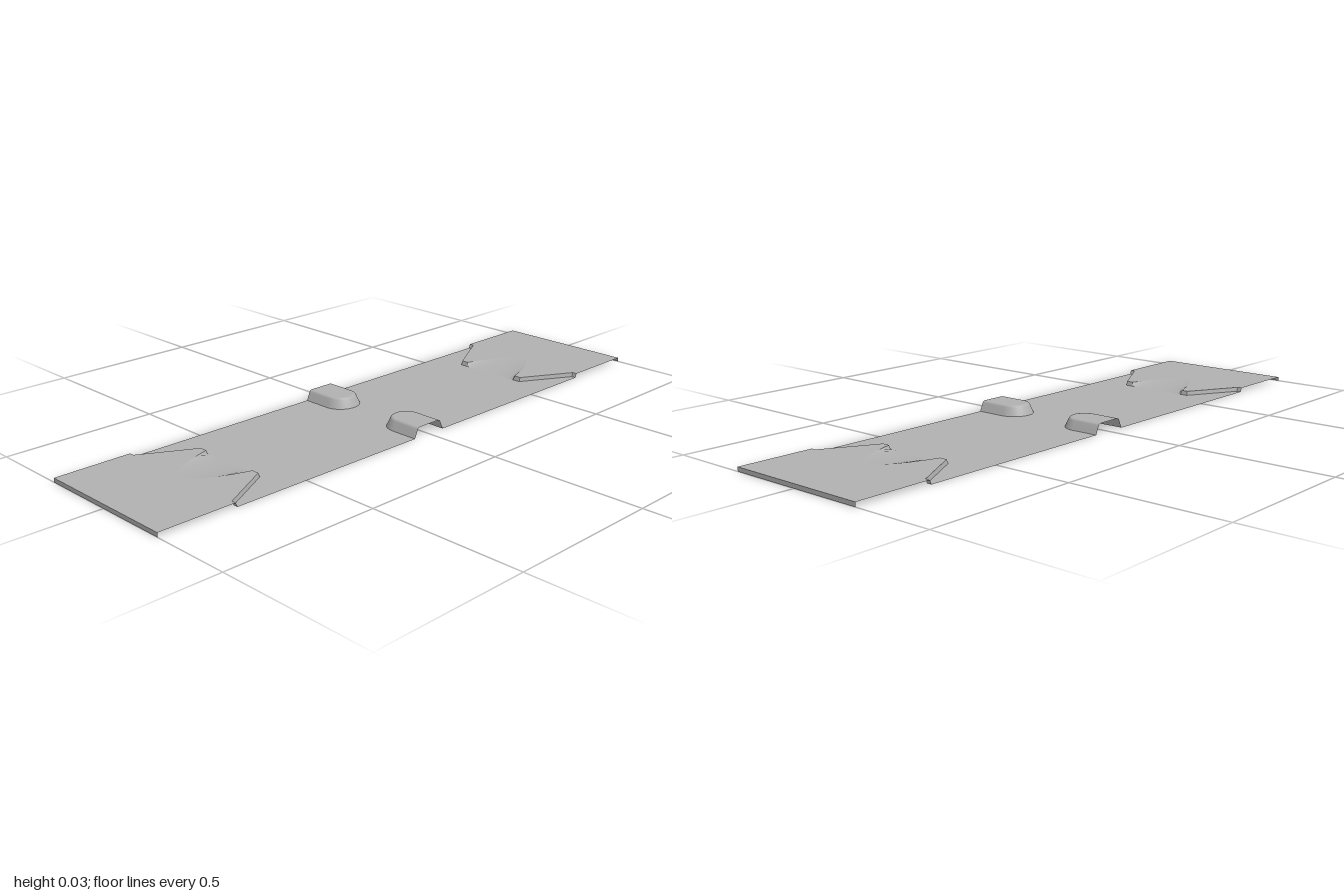
import * as THREE from 'three';

const END_Y = 0.0134;   // height of the raised end sheets
const HALF_D = 0.241;   // half depth of the whole panel

// Surface through rows of [x, y, z] points
function strip(rows, flat, material, name) {
  const n = rows[0].length, index = [];
  for (let i = 0; i < rows.length - 1; i++) {
    for (let j = 0; j < n - 1; j++) {
      const a = i * n + j, c = a + n;
      index.push(a, a + 1, c, a + 1, c + 1, c);
    }
  }
  let geo = new THREE.BufferGeometry();
  geo.setAttribute('position', new THREE.Float32BufferAttribute(rows.flat(2), 3));
  geo.setIndex(index);
  if (flat) geo = geo.toNonIndexed();
  geo.computeVertexNormals();
  const mesh = new THREE.Mesh(geo, material);
  mesh.name = name;
  return mesh;
}

// Horizontal sheet from an outline of [x, z] points
function sheet(outline, y, material, name) {
  const shape = new THREE.Shape(outline.map(([x, z]) => new THREE.Vector2(x, -z)));
  const mesh = new THREE.Mesh(new THREE.ShapeGeometry(shape).rotateX(-Math.PI / 2), material);
  mesh.position.y = y;
  mesh.name = name;
  return mesh;
}

// U-shaped outline of a bump, moved inward by inset
function bumpOutline(inset) {
  const w = 0.062 - inset, zc = 0.147, pts = [[w, HALF_D]];
  for (let k = 0; k <= 20; k++) {
    const a = Math.PI * k / 20;
    pts.push([w * Math.cos(a), zc - w * Math.sin(a)]);
  }
  pts.push([-w, HALF_D]);
  return pts;
}

export function createModel() {
  const model = new THREE.Group();
  model.name = 'panel';
  const grey = new THREE.MeshStandardMaterial({ color: 0xb0b0b0, side: THREE.DoubleSide });
  grey.name = 'plain grey';

  // Step between middle and end sheets: straight walls and a central ramp
  const wallTop = [[0.75, -HALF_D], [0.75, -0.225], [0.58, -0.13], [0.58, -0.105]];
  const wallLow = wallTop.map(([x, z]) => [x - 0.005, z]);
  const flip = (pts) => pts.map(([x, z]) => [x, -z]).reverse();
  const rampTop = [], rampLow = [];
  for (let k = 0; k <= 16; k++) {
    const t = k / 8 - 1;
    rampTop.push([0.58 + 0.17 * (1 - t * t), 0.105 * t]);
    rampLow.push([0.575, 0.105 * t]);
  }
  const at = (pts, y) => pts.map(([x, z]) => [x, y, z]);

  // Middle sheet with the bump openings cut into both long edges
  const half = [...wallLow, ...flip(wallLow), ...bumpOutline(0)];
  model.add(sheet([...half, ...half.map(([x, z]) => [-x, -z])], 0, grey, 'middleSheet'));

  for (const turn of [0, Math.PI]) {
    // Raised end with its ramp, side walls and outer lip
    const end = new THREE.Group();
    end.name = turn ? 'rightEnd' : 'leftEnd';
    end.rotation.y = turn;
    end.add(
      sheet([...wallTop, ...rampTop.slice(1, -1), ...flip(wallTop), [1, HALF_D], [1, -HALF_D]], END_Y, grey, 'endSheet'),
      strip([at(wallLow, 0), at(wallTop, END_Y)], true, grey, 'stepWall'),
      strip([at(flip(wallLow), 0), at(flip(wallTop), END_Y)], true, grey, 'stepWall'),
      strip([at(rampLow, 0), at(rampTop, END_Y)], false, grey, 'ramp'),
      strip([0, END_Y].map((y) => [[1, y, HALF_D], [1, y, -HALF_D]]), true, grey, 'endLip'),
    );
    model.add(end);

    // Hollow rounded bump, open at the long edge
    const bump = new THREE.Group();
    bump.name = turn ? 'backBump' : 'frontBump';
    bump.rotation.y = turn;
    const profile = [[0, 0], [0.006, 0.0134], [0.012, 0.027], [0.0145, 0.0305], [0.018, 0.0325], [0.023, 0.033]];
    bump.add(
      strip(profile.map(([inset, y]) => at(bumpOutline(inset), y)), false, grey, 'bumpSide'),
      sheet(bumpOutline(0.023), 0.033, grey, 'bumpTop'),
    );
    model.add(bump);
  }
  return model;
}
